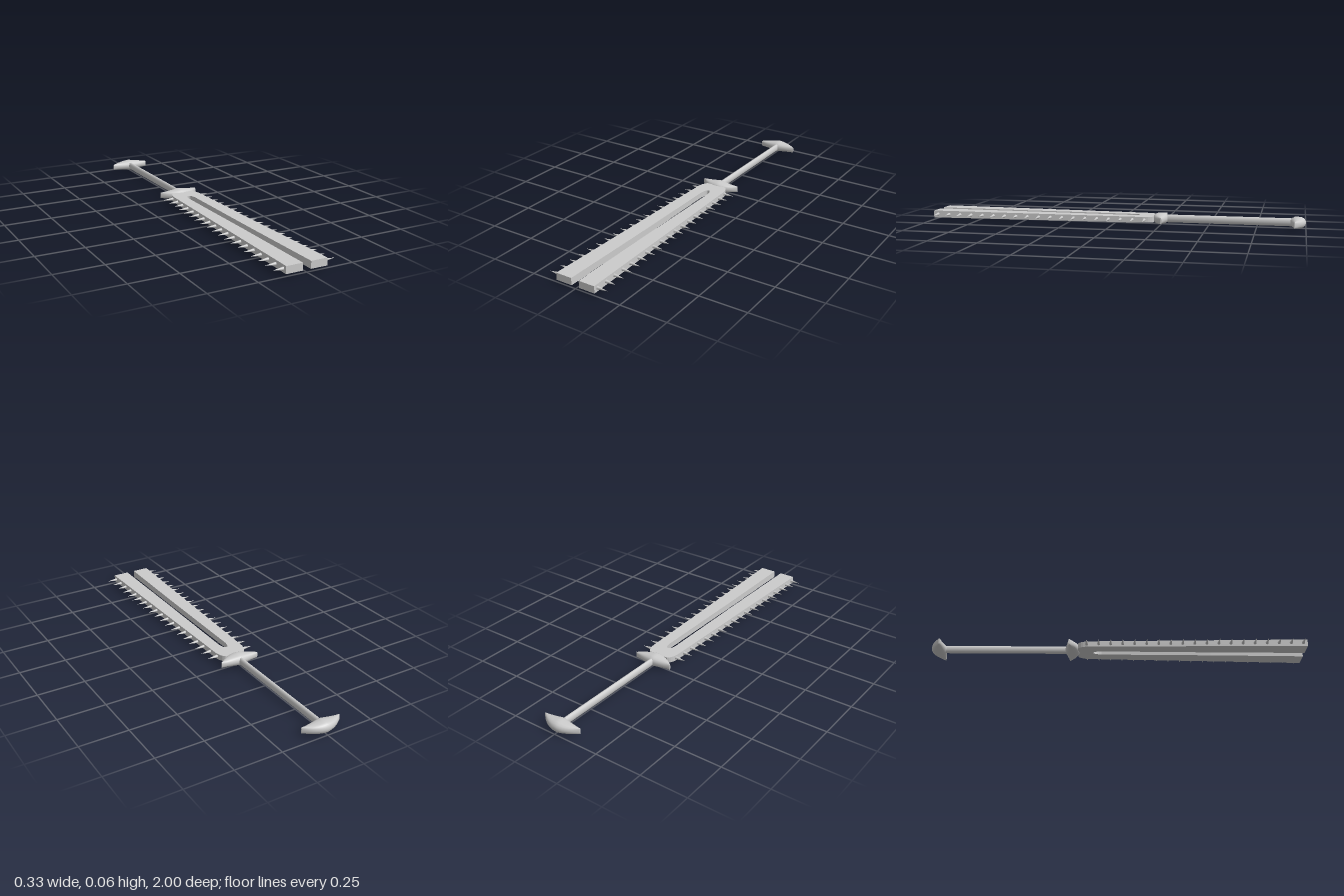
import * as THREE from 'three';

const MID = 0.03; // height of the centre plane

function material(flat) {
  return new THREE.MeshStandardMaterial({ color: 0xcccccc, flatShading: flat });
}

function part(name, geometry, flat = false) {
  const mesh = new THREE.Mesh(geometry, material(flat));
  mesh.name = name;
  return mesh;
}

// Forked plate, widening and thickening towards the tip
function bladeGeometry() {
  const s = new THREE.Shape();
  s.moveTo(0.11, 1);
  s.lineTo(0.022, 1);
  s.lineTo(0.019, 0.5);
  s.lineTo(0.02, -0.09);
  s.quadraticCurveTo(0.016, -0.125, 0.006, -0.132);
  s.lineTo(-0.006, -0.132);
  s.quadraticCurveTo(-0.016, -0.125, -0.02, -0.09);
  s.lineTo(-0.019, 0.5);
  s.lineTo(-0.022, 1);
  s.lineTo(-0.11, 1);
  s.lineTo(-0.08, -0.16);
  s.quadraticCurveTo(-0.075, -0.2, -0.055, -0.215);
  s.lineTo(0.055, -0.215);
  s.quadraticCurveTo(0.075, -0.2, 0.08, -0.16);
  s.closePath();
  const g = new THREE.ExtrudeGeometry(s, { depth: 1, bevelEnabled: false, curveSegments: 5 });
  g.translate(0, 0, -0.5).rotateX(Math.PI / 2);
  const p = g.attributes.position;
  for (let i = 0; i < p.count; i++) {
    const thickness = 0.03 + 0.008 * (p.getZ(i) + 0.2) / 1.2;
    p.setY(i, MID + p.getY(i) * thickness);
  }
  g.computeVertexNormals();
  return g;
}

// Crescent lofted along x: bulging on +z, nearly flat on -z, with blunt tips
function crescentGeometry() {
  const N = 16, M = 16, pos = [], idx = [];
  for (let i = 0; i <= N; i++) {
    const t = -1 + 2 * i / N, a = Math.abs(t);
    const front = 0.058 - 0.054 * Math.pow(a, 1.9);
    const back = -0.021 * (1 - a) - 0.003;
    const h = 0.03 - 0.014 * a;
    for (let j = 0; j < M; j++) {
      const th = 2 * Math.PI * j / M, c = Math.cos(th), sn = Math.sin(th);
      const z = (front + back) / 2 + (front - back) / 2 * Math.sign(c) * Math.pow(Math.abs(c), 0.8);
      pos.push(t * 0.108, h * Math.sign(sn) * Math.pow(Math.abs(sn), 0.9), z);
    }
  }
  for (let i = 0; i < N; i++) {
    for (let j = 0; j < M; j++) {
      const k = (j + 1) % M, a = i * M + j, b = i * M + k;
      idx.push(a, b, a + M, b, b + M, a + M);
    }
  }
  // End caps use their own vertices so their edges stay sharp
  for (const ring of [0, N]) {
    const base = pos.length / 3;
    for (let j = 0; j < M; j++) pos.push(...pos.slice((ring * M + j) * 3, (ring * M + j) * 3 + 3));
    for (let j = 1; j < M - 1; j++) {
      if (ring) idx.push(base, base + j + 1, base + j);
      else idx.push(base, base + j, base + j + 1);
    }
  }
  // Make the winding point outward
  const g = new THREE.BufferGeometry();
  g.setAttribute('position', new THREE.Float32BufferAttribute(pos, 3));
  const v = i => new THREE.Vector3().fromArray(pos, i * 3);
  let volume = 0;
  for (let i = 0; i < idx.length; i += 3) {
    const [a, b, c] = [v(idx[i]), v(idx[i + 1]), v(idx[i + 2])];
    const n = b.clone().sub(a).cross(c.clone().sub(a));
    const mid = a.clone().add(b).add(c).divideScalar(3);
    const isCap = Math.abs(Math.abs(mid.x) - 0.108) < 1e-6;
    const axis = new THREE.Vector3(mid.x * (isCap ? 0 : 1), 0, 0.029 * (1 - Math.abs(mid.x) / 0.108) ** 1);
    const out = isCap ? new THREE.Vector3(mid.x, 0, 0) : mid.clone().sub(axis);
    volume = n.dot(out);
    if (volume < 0) [idx[i + 1], idx[i + 2]] = [idx[i + 2], idx[i + 1]];
  }
  g.setIndex(idx);
  g.computeVertexNormals();
  return g;
}

export function createModel() {
  const model = new THREE.Group();
  model.name = 'spikedSword';
  model.add(part('blade', bladeGeometry(), true));

  // Oval grip
  const grip = new THREE.CylinderGeometry(1, 1, 0.69, 16);
  grip.rotateX(Math.PI / 2).scale(0.013, 0.021, 1).translate(0, MID, -0.605);
  model.add(part('grip', grip));

  // Guard bulges towards the blade, pommel away from it
  const crescent = crescentGeometry();
  const guard = part('guard', crescent);
  guard.position.set(0, MID, -0.262);
  const pommel = part('pommel', crescent);
  pommel.position.set(0, MID, -0.942);
  pommel.rotation.y = Math.PI;
  model.add(guard, pommel);

  // Row of spikes along each edge
  const spike = new THREE.ConeGeometry(0.0095, 0.062, 8);
  spike.translate(0, 0.025, 0);
  const spikes = new THREE.Group();
  spikes.name = 'spikes';
  for (const side of [1, -1]) {
    for (let i = 0; i < 19; i++) {
      const z = -0.168 + i * 0.0636;
      const m = part(side > 0 ? 'leftSpike' : 'rightSpike', spike);
      m.position.set(side * (0.08 + 0.03 * (z + 0.16) / 1.16), MID, z);
      m.rotation.z = -side * Math.PI / 2;
      spikes.add(m);
    }
  }
  model.add(spikes);
  return model;
}
